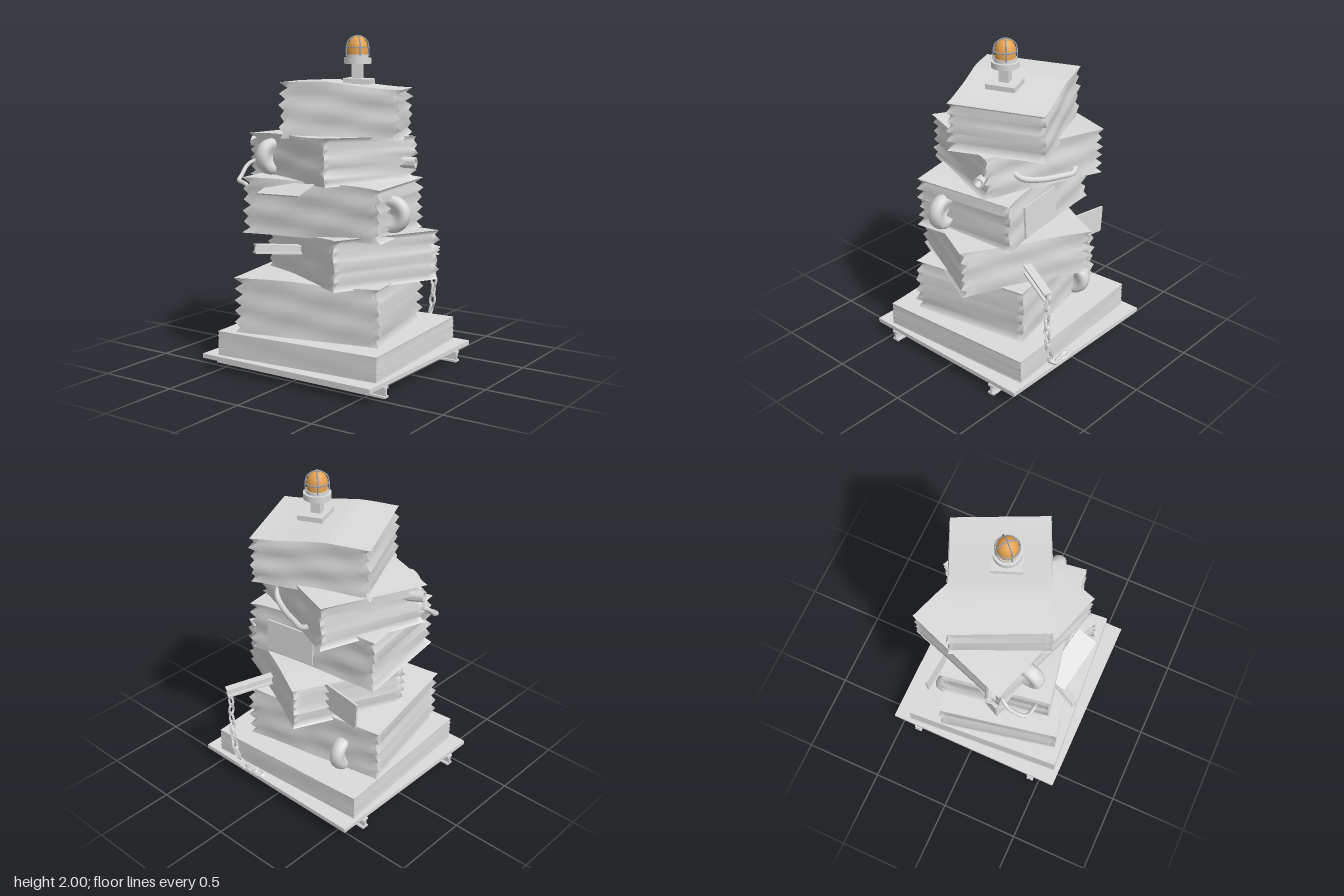
import * as THREE from 'three';
import { toCreasedNormals } from 'three/addons/utils/BufferGeometryUtils.js';

const mat = (name, color) => {
  const m = new THREE.MeshStandardMaterial({ color });
  m.name = name;
  return m;
};

export function createModel() {
  const root = new THREE.Group();
  root.name = 'scrapStack';
  const metal = mat('scrap grey', 0xdadada);
  const amber = mat('amber lamp', 0xf0aa55);
  const wire = mat('guard wire grey', 0x9ca2aa);
  const V = (x, y, z) => new THREE.Vector3(x, y, z);

  let seed = 7;
  const rnd = () => (seed = (seed * 16807) % 2147483647) / 2147483647;

  const add = (name, geo, material, pos = [0, 0, 0], rot = [0, 0, 0], parent = root) => {
    const m = new THREE.Mesh(geo, material);
    m.name = name;
    m.position.set(...pos);
    m.rotation.set(...rot);
    parent.add(m);
    return m;
  };
  const box = (name, size, pos, rot) => add(name, new THREE.BoxGeometry(...size), metal, pos, rot);

  // Skid: deck plate on two flanged rails
  box('deckPlate', [1.2, 0.027, 1.16], [0, 0.079, 0.02]);
  for (const z of [0.44, -0.385]) {
    box('railWeb', [1.22, 0.06, 0.014], [0, 0.033, z]);
    box('railTopFlange', [1.22, 0.014, 0.044], [0, 0.059, z]);
    box('railFoot', [1.22, 0.012, 0.044], [0, 0.006, z]);
  }

  // Crushed bale: crumpled differently at each upright edge, gently rippled on the long faces
  function bale(name, [w, h, d], [x, y, z], turn, pleat, ripple, lift) {
    const rows = 10;
    const g = new THREE.BoxGeometry(w, h, d, 24, rows, 16);
    const p = g.attributes.position;
    const phase = rnd() * 6;
    const edges = [];
    for (let k = 0; k < 4; k++) {
      const edge = [];
      for (let i = 0; i <= rows; i++) edge.push((i % 2 ? -1 : 0.6) * pleat * (0.35 + 1.0 * rnd()));
      edges.push(edge);
    }
    for (let i = 0; i < p.count; i++) {
      const px = p.getX(i), py = p.getY(i), pz = p.getZ(i);
      const u = (2 * px) / w, v = py / h + 0.5, t = (2 * pz) / d;
      const row = Math.round(v * rows);
      const k = u > 0 ? 2 : 0;
      const fold = THREE.MathUtils.lerp(edges[k][row], edges[k + 1][row], (t + 1) / 2);
      const out = fold * Math.pow(Math.abs(u), 10);
      const wave = ripple * (Math.sin(py * 40 + px * 5 + phase) + 0.5 * Math.sin(px * 14 - py * 26 + phase));
      p.setXYZ(i,
        px + Math.sign(u) * out,
        py + v * lift(u, t) + (pleat > 0.01 ? 0.005 * v * Math.sin(px * 9 + phase) : 0),
        pz + Math.sign(t) * (wave * Math.pow(Math.abs(t), 6) + out * 0.4 * Math.pow(Math.abs(t), 10)));
    }
    // each side of the box keeps its own vertices, so sides are smooth and edges sharp
    g.computeVertexNormals();
    add(name, g, metal, [x, y + h / 2, z], [0, turn, 0]);
  }
  const flat = () => 0;
  bale('baseBale', [1.08, 0.15, 1.02], [0, 0.09, 0.02], 0.07, 0.003, 0.001, flat);
  bale('lowerBale', [0.9, 0.34, 0.75], [-0.03, 0.235, 0.06], 0.2, 0.026, 0.004, flat);
  bale('secondBale', [0.8, 0.28, 0.7], [0.07, 0.565, -0.012], -0.45, 0.026, 0.004, (u) => 0.012 * u);
  bale('middleBale', [0.86, 0.33, 0.64], [-0.005, 0.835, 0.06], 0.15, 0.024, 0.005, (u) => (u > 0 ? -0.03 * u * u : 0));
  bale('fourthBale', [0.76, 0.28, 0.67], [-0.055, 1.15, 0.005], -0.34, 0.024, 0.005, (u, t) => 0.012 * u * t - 0.012);
  bale('topBale', [0.69, 0.34, 0.57], [0.02, 1.4, -0.05], 0.42, 0.025, 0.005,
    (u, t) => -0.016 - (u > -0.3 ? 0.03 * (u + 0.3) : 0) + 0.006 * t);

  // Half-buried tyres, standing upright with the tread facing outward
  const tread = [[0, -0.015], [0.04, -0.025], [0.06, -0.042], [0.085, -0.042], [0.102, -0.03], [0.109, 0],
    [0.102, 0.03], [0.085, 0.042], [0.06, 0.042], [0.04, 0.025], [0, 0.015]].map((q) => new THREE.Vector2(...q));
  const tyreGeo = new THREE.LatheGeometry(tread, 32).rotateX(Math.PI / 2);
  const tyre = (pos, turn) => add('tyre', tyreGeo, metal, pos, [0, turn, 0]);
  tyre([-0.313, 1.28, 0.272], Math.PI / 2 - 0.22);
  tyre([0.45, 0.98, 0.13], 0.1);
  tyre([-0.31, 0.34, -0.255], Math.PI / 2 + 0.2);

  // Pipe stubs
  const pipe = (a, b, r) => {
    const shape = new THREE.Shape().absarc(0, 0, r, 0, Math.PI * 2);
    shape.holes.push(new THREE.Path().absarc(0, 0, r * 0.65, 0, Math.PI * 2, true));
    const g = new THREE.ExtrudeGeometry(shape, { depth: a.distanceTo(b), bevelEnabled: false, curveSegments: 12 });
    add('pipeStub', toCreasedNormals(g, 0.7), metal, a.toArray()).lookAt(b);
  };
  pipe(V(-0.4, 1.33, 0.09), V(-0.56, 1.35, 0.15), 0.032);
  pipe(V(0.3, 1.25, -0.11), V(0.44, 1.25, -0.145), 0.034);

  // Loose hoses
  const hose = (pts, r) =>
    add('hose', new THREE.TubeGeometry(new THREE.CatmullRomCurve3(pts), 28, r, 8), metal);
  hose([V(-0.46, 1.25, 0.16), V(-0.52, 1.22, 0.23), V(-0.52, 1.15, 0.31), V(-0.5, 1.13, 0.355), V(-0.43, 1.11, 0.37), V(-0.39, 1.05, 0.36)], 0.013);
  hose([V(0.24, 1.28, -0.22), V(0.21, 1.24, -0.27), V(0.1, 1.21, -0.325), V(-0.02, 1.2, -0.365), V(-0.11, 1.2, -0.39), V(-0.16, 1.22, -0.36)], 0.018);

  // I-beams poking out of the second bale
  const beam = (a, b, w, h) => {
    const g = new THREE.Group();
    g.name = 'steelBeam';
    g.position.copy(a).lerp(b, 0.5);
    g.lookAt(b);
    root.add(g);
    const l = a.distanceTo(b);
    const part = (name, sx, sy, y) => add(name, new THREE.BoxGeometry(sx, sy, l), metal, [0, y, 0], [0, 0, 0], g);
    part('beamWeb', 0.012, h, 0);
    part('beamTopFlange', w, 0.01, h / 2);
    part('beamBottomFlange', w, 0.01, -h / 2);
  };
  beam(V(-0.07, 0.74, 0.28), V(-0.22, 0.775, 0.56), 0.045, 0.045);
  beam(V(0.2, 0.675, -0.28), V(0.345, 0.64, -0.59), 0.05, 0.045);

  // Torn sheet panels
  box('frontPanel', [0.35, 0.008, 0.14], [-0.08, 1.12, 0.45], [0.4, -0.14, 0.12]);
  box('backPanel', [0.33, 0.2, 0.012], [0.08, 0.98, -0.3], [0.06, 0.15, 0]);
  box('sidePanel', [0.28, 0.17, 0.012], [-0.34, 0.73, -0.315], [0, -0.1, 0.06]);

  // Chain of chunky faceted links hanging from the rear beam and trailing onto the deck
  const path = new THREE.CatmullRomCurve3([
    V(0.325, 0.61, -0.575), V(0.33, 0.42, -0.575), V(0.31, 0.24, -0.575),
    V(0.27, 0.14, -0.57), V(0.2, 0.112, -0.56), V(0.1, 0.108, -0.545)]);
  const links = 10;
  const linkGeo = toCreasedNormals(new THREE.TorusGeometry(0.018, 0.009, 4, 8).scale(1, 1.85, 1), 0.4);
  for (let i = 0; i < links; i++) {
    const t = (i + 0.5) / links;
    const m = add('chainLink', linkGeo, metal, path.getPointAt(t).toArray());
    m.quaternion.setFromUnitVectors(V(0, 1, 0), path.getTangentAt(t).negate());
    m.rotateY(i % 2 ? Math.PI / 2 : 0);
  }

  // Warning beacon
  const lamp = new THREE.Group();
  lamp.name = 'beacon';
  lamp.position.set(0.095, 0, -0.04);
  lamp.rotation.y = 0.36;
  root.add(lamp);
  const on = (name, geo, m, y, rot, x = 0) => add(name, geo, m, [x, y, 0], rot, lamp);
  on('beaconFoot', new THREE.BoxGeometry(0.155, 0.03, 0.18), metal, 1.728, [0, 0, -0.04], 0.01);
  on('beaconPost', new THREE.BoxGeometry(0.06, 0.1, 0.06), metal, 1.785);
  on('beaconCollar', new THREE.CylinderGeometry(0.082, 0.082, 0.035, 24), metal, 1.847);
  on('beaconSeat', new THREE.CylinderGeometry(0.066, 0.066, 0.02, 24), metal, 1.873);
  const dome = [[0.06, 0], [0.062, 0.04], [0.056, 0.07], [0.04, 0.097], [0.019, 0.109], [0, 0.111]]
    .map((q) => new THREE.Vector2(...q));
  on('beaconDome', new THREE.LatheGeometry(dome, 24), amber, 1.88);
  on('guardRing', new THREE.TorusGeometry(0.068, 0.0045, 6, 24), wire, 1.925, [Math.PI / 2, 0, 0]);
  const hoop = new THREE.CatmullRomCurve3([
    V(-0.068, 0, 0), V(-0.068, 0.05, 0), V(-0.055, 0.092, 0), V(0, 0.12, 0),
    V(0.055, 0.092, 0), V(0.068, 0.05, 0), V(0.068, 0, 0)]);
  for (const a of [0.45, 0.45 + Math.PI / 2])
    on('guardHoop', new THREE.TubeGeometry(hoop, 28, 0.0045, 6), wire, 1.875, [0, a, 0]);

  return root;
}
